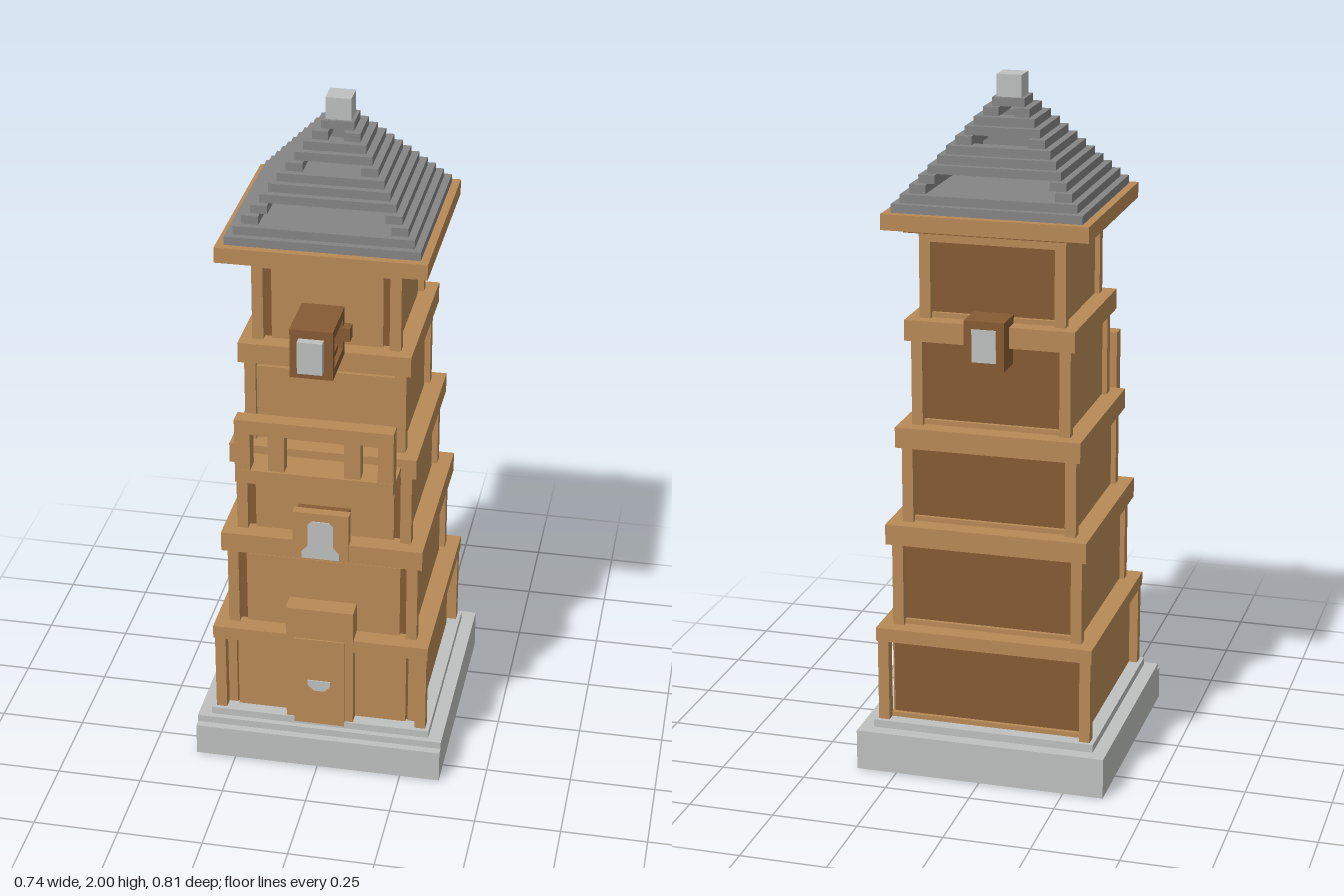
import * as THREE from 'three';

const mat = (name, color) => {
  const m = new THREE.MeshStandardMaterial({ color });
  m.name = name;
  return m;
};

export function createModel() {
  const wood = mat('light wood', 0xb98a57);
  const dark = mat('dark wood', 0x875b34);
  const stone = mat('pale stone', 0xbec1bf);
  const slate = mat('roof slate', 0x858585);
  const model = new THREE.Group();
  const CZ = -0.037; // centre line of the tower in z

  const group = (name) => {
    const g = new THREE.Group();
    g.name = name;
    model.add(g);
    return g;
  };
  // box from its lower and upper limits on each axis
  const box = (parent, name, m, x0, x1, y0, y1, z0, z1) => {
    const mesh = new THREE.Mesh(new THREE.BoxGeometry(x1 - x0, y1 - y0, z1 - z0), m);
    mesh.position.set((x0 + x1) / 2, (y0 + y1) / 2, (z0 + z1) / 2);
    mesh.name = name;
    parent.add(mesh);
    return mesh;
  };
  // square slab centred on the tower
  const slab = (parent, name, m, h, y0, y1) => box(parent, name, m, -h, h, y0, y1, CZ - h, CZ + h);
  // thin flat plate from an outline in x and y
  const plate = (parent, name, m, pts, z) => {
    const s = new THREE.Shape(pts.map(([x, y]) => new THREE.Vector2(x, y)));
    const mesh = new THREE.Mesh(new THREE.ExtrudeGeometry(s, { depth: 0.006, bevelEnabled: false }), m);
    mesh.position.z = z;
    mesh.name = name;
    parent.add(mesh);
  };

  // stepped stone base
  const base = group('base');
  slab(base, 'underside', slate, 0.345, 0, 0.004);
  box(base, 'lowerStep', stone, -0.368, 0.368, 0.002, 0.1, -0.404, 0.331);
  box(base, 'upperStep', stone, -0.368, 0.368, 0.1, 0.122, -0.404, 0.308);
  slab(base, 'plinth', stone, 0.328, 0.122, 0.145);

  // five tapering storeys: half width, bottom, band bottom, top, dark gap below band
  const tiers = [
    [0.32, 0.145, 0.39, 0.43, 0.012],
    [0.295, 0.43, 0.68, 0.74, 0.02],
    [0.27, 0.74, 0.965, 1.025, 0],
    [0.246, 1.025, 1.275, 1.335, 0.022],
    [0.226, 1.335, 1.555, 1.6, 0],
  ];
  tiers.forEach(([h, y0, yb, y1, gap], i) => {
    const g = group('storey' + (i + 1));
    const p = h - (i === 0 ? 0.004 : 0.015); // outer face of the posts
    const w = h - 0.03; // outer face of the panels
    const c = h - 0.042; // outer face of the core
    slab(g, 'core', dark, c, y0, yb);
    slab(g, 'band', wood, i === 4 ? p : h, yb, y1);
    for (const sx of [-1, 1]) {
      for (const sz of [-1, 1]) {
        const x = sx * (p - 0.016), z = CZ + sz * (p - 0.016);
        box(g, 'cornerPost', wood, x - 0.016, x + 0.016, y0, yb, z - 0.016, z + 0.016);
      }
      const a = sx * (c - 0.02), b = sx * w;
      box(g, 'sidePanel', wood, Math.min(a, b), Math.max(a, b), y0, yb - gap, CZ - h + 0.065, CZ + p - 0.032);
    }
    const fx = i === 3 ? p - 0.032 : h - 0.068;
    box(g, 'frontPanel', wood, -fx, fx, y0, yb - gap, CZ + c - 0.02, CZ + w);
    box(g, 'backSill', wood, -p + 0.03, p - 0.03, y0, y0 + 0.014, CZ - w, CZ - c + 0.01);
  });

  // door with its pointed badge
  const door = group('door');
  box(door, 'doorSurround', wood, -0.1, 0.1, 0.145, 0.525, 0.2, 0.287);
  box(door, 'doorLeaf', wood, -0.075, 0.075, 0.13, 0.425, 0.25, 0.293);
  plate(door, 'doorBadge', stone, [[-0.034, 0.284], [-0.034, 0.268], [-0.015, 0.25], [0.015, 0.25], [0.034, 0.268], [0.034, 0.284]], 0.291);

  // lower front window
  const win = group('lowerWindow');
  box(win, 'windowBack', dark, -0.075, 0.075, 0.7, 0.83, 0.18, 0.24);
  box(win, 'windowFrame', wood, -0.082, 0.082, 0.69, 0.838, 0.235, 0.264);
  plate(win, 'windowPane', stone, [[-0.055, 0.69], [0.055, 0.69], [0.055, 0.71], [0.037, 0.73], [0.037, 0.8], [0.025, 0.812], [-0.025, 0.812], [-0.037, 0.8], [-0.037, 0.73], [-0.055, 0.71]], 0.262);

  // balcony with open railing
  const balcony = group('balcony');
  box(balcony, 'balconyFloor', wood, -0.225, 0.225, 0.96, 1.0, 0.17, 0.335);
  box(balcony, 'bottomRail', wood, -0.225, 0.225, 0.975, 1.015, 0.31, 0.357);
  box(balcony, 'topRail', wood, -0.225, 0.225, 1.13, 1.172, 0.31, 0.357);
  for (const s of [-1, 1]) {
    box(balcony, 'endPost', wood, s * 0.203 - 0.022, s * 0.203 + 0.022, 1.015, 1.13, 0.31, 0.356);
    box(balcony, 'innerPost', wood, s * 0.108 - 0.023, s * 0.108 + 0.023, 1.015, 1.13, 0.31, 0.35);
  }

  // projecting upper window box, open at the sides
  const oriel = group('upperWindow');
  box(oriel, 'windowRoof', dark, -0.06, 0.06, 1.452, 1.48, 0.215, 0.38);
  box(oriel, 'windowFloor', dark, -0.06, 0.06, 1.335, 1.362, 0.215, 0.38);
  box(oriel, 'rearFrame', dark, -0.06, 0.06, 1.362, 1.452, 0.215, 0.235);
  box(oriel, 'frontFrame', dark, -0.06, 0.06, 1.362, 1.452, 0.36, 0.38);
  box(oriel, 'bracket', dark, -0.012, 0.012, 1.312, 1.335, 0.215, 0.31);
  for (const s of [-1, 1]) {
    box(oriel, 'sideBar', dark, s * 0.05 - 0.01, s * 0.05 + 0.01, 1.395, 1.412, 0.31, 0.36);
    box(oriel, 'sideKnob', dark, s * 0.07 - 0.012, s * 0.07 + 0.012, 1.39, 1.43, 0.215, 0.25);
  }
  box(oriel, 'windowPane', stone, -0.035, 0.035, 1.36, 1.455, 0.38, 0.404);

  // rear window
  const rear = group('rearWindow');
  box(rear, 'rearWindowFrame', dark, -0.058, 0.058, 1.22, 1.36, -0.33, -0.23);
  box(rear, 'rearWindowPane', stone, -0.035, 0.035, 1.243, 1.337, -0.334, -0.328);

  // eaves and the stepped roof, with open slots at front and back
  const roof = group('roof');
  slab(roof, 'eavesUnderside', dark, 0.245, 1.585, 1.602);
  slab(roof, 'eaves', wood, 0.295, 1.6, 1.645);
  const step = 0.0243, open = [2, 3, 7, 10];
  for (let i = 0; i < 12; i++) {
    const h = 0.272 - i * 0.0205, y0 = 1.645 + i * step, y1 = y0 + step, t = Math.min(0.047, h - 0.022);
    if (i < 2 || i === 11) {
      slab(roof, 'roofLayer', slate, h, y0, y1);
      continue;
    }
    for (const s of [-1, 1]) {
      const x = s * (h - t / 2);
      box(roof, 'sideCourse', slate, x - t / 2, x + t / 2, y0, y1, CZ - h, CZ + h);
      if (!open.includes(i)) {
        const z = CZ + s * (h - t / 2);
        box(roof, 'endCourse', slate, -h + t, h - t, y0, y1, z - t / 2, z + t / 2);
      }
    }
  }
  slab(roof, 'finial', stone, 0.036, 1.932, 2.0);

  return model;
}
